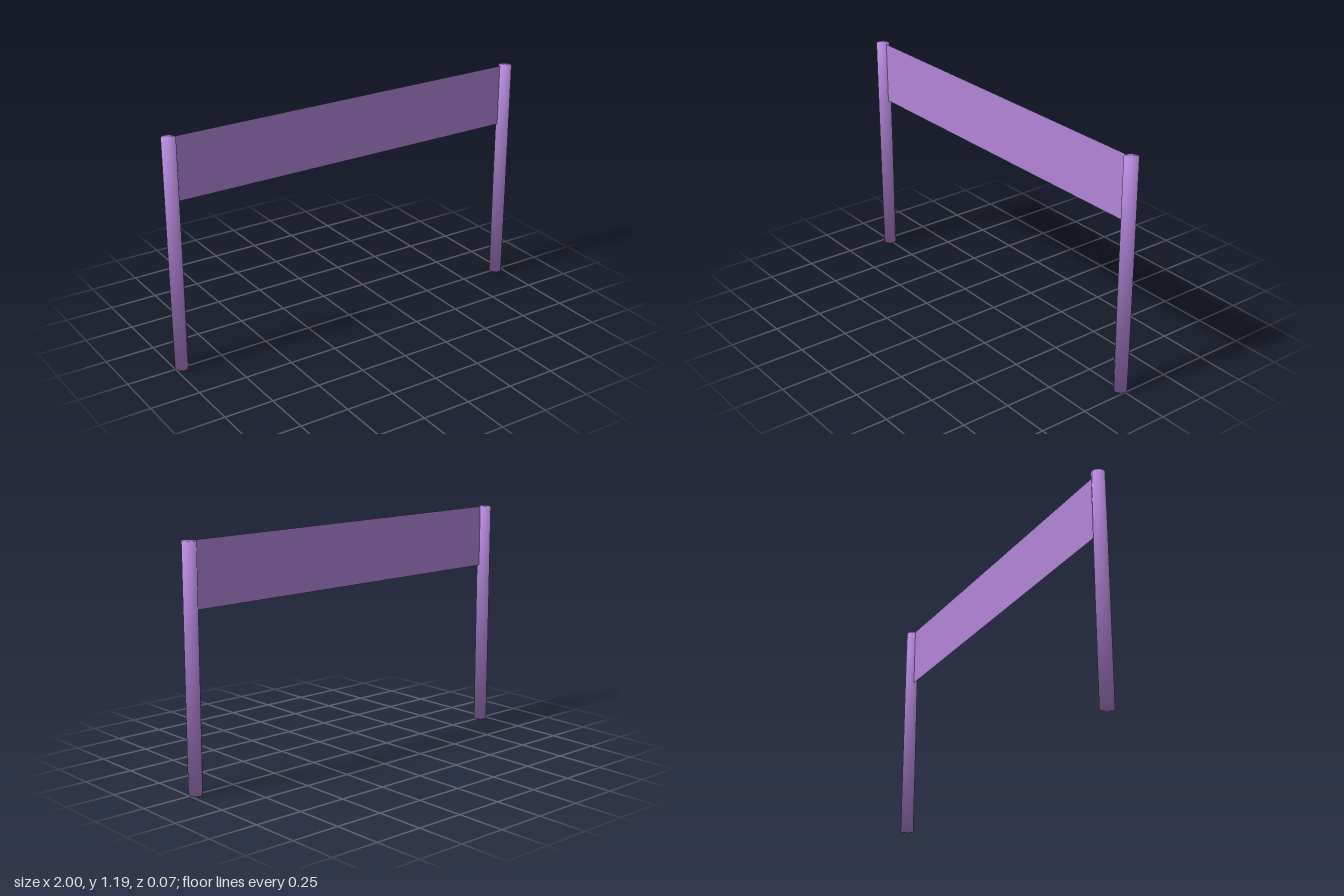
import * as THREE from 'three';

const HEIGHT = 1.186, RADIUS = 0.034, POLE_X = 1 - RADIUS;
const PANEL_HEIGHT = 0.32;

// Cylinder whose rim normals are blended between side and cap for soft shading
function softCylinder(radius, height) {
  const geometry = new THREE.CylinderGeometry(radius, radius, height, 32);
  const pos = geometry.attributes.position, normal = geometry.attributes.normal;
  const n = new THREE.Vector3();
  for (let i = 0; i < pos.count; i++) {
    n.set(pos.getX(i) / radius, Math.sign(pos.getY(i)), pos.getZ(i) / radius).normalize();
    normal.setXYZ(i, n.x, n.y, n.z);
  }
  return geometry;
}

export function createModel() {
  const group = new THREE.Group();
  group.name = 'bannerOnPoles';

  // Two upright round poles
  const poleMaterial = new THREE.MeshStandardMaterial({ color: 0xb284d6 });
  const poleGeometry = softCylinder(RADIUS, HEIGHT);
  for (const [name, side] of [['leftPole', 1], ['rightPole', -1]]) {
    const pole = new THREE.Mesh(poleGeometry, poleMaterial);
    pole.name = name;
    pole.position.set(side * POLE_X, HEIGHT / 2, 0);
    group.add(pole);
  }

  // Thin panel stretched between the pole centres, flush with their tops
  const panel = new THREE.Mesh(
    new THREE.PlaneGeometry(2 * POLE_X, PANEL_HEIGHT),
    new THREE.MeshStandardMaterial({ color: 0xb284d6, side: THREE.DoubleSide })
  );
  panel.name = 'panel';
  panel.position.y = HEIGHT - PANEL_HEIGHT / 2;
  group.add(panel);

  return group;
}
